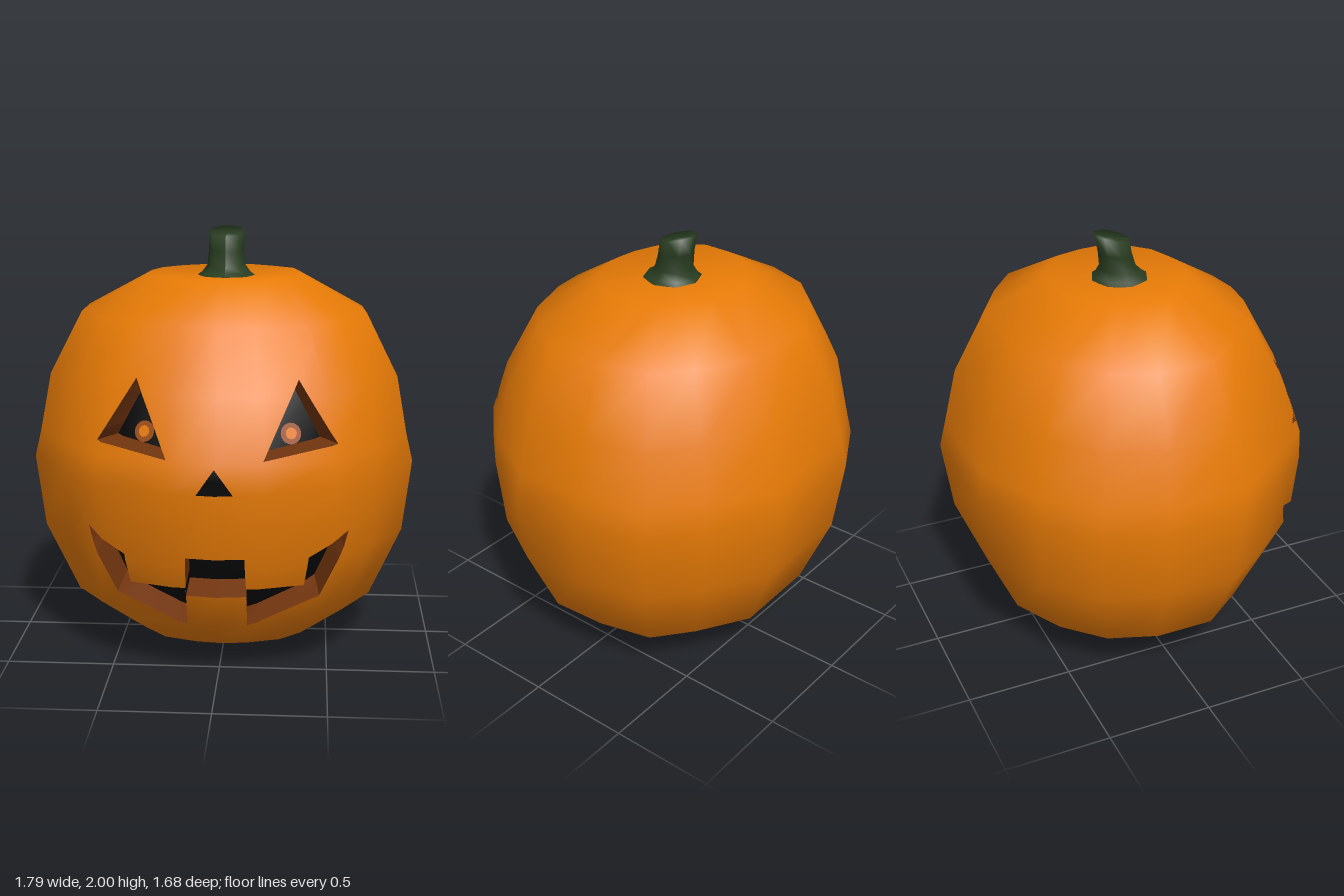
import * as THREE from 'three';
import { mergeVertices } from 'three/addons/utils/BufferGeometryUtils.js';

const mat = (name, color, side = THREE.FrontSide) => {
  const m = new THREE.MeshStandardMaterial({ color, side });
  m.name = name;
  return m;
};

// Plan outline [x, z] from the front round by the left
const OUTLINE = [[0, 0.85], [0.22, 0.82], [0.53, 0.7], [0.72, 0.49], [0.89, 0.18], [0.87, -0.16],
  [0.79, -0.48], [0.57, -0.66], [0.27, -0.84], [-0.28, -0.83], [-0.58, -0.67], [-0.8, -0.45],
  [-0.9, -0.16], [-0.9, 0.2], [-0.72, 0.46], [-0.53, 0.7], [-0.22, 0.82]];
// Levels [scale, y, depth factor of the front, depth factor of the back]
const LEVELS = [[0, 0.03, 1, 1], [0.22, 0, 0.75, 0.82], [0.52, 0.065, 0.84, 0.88],
  [0.79, 0.25, 0.95, 0.99], [0.955, 0.59, 1, 0.99], [1, 0.93, 0.985, 1], [0.965, 1.06, 1.03, 1],
  [0.91, 1.33, 0.95, 0.98], [0.745, 1.62, 0.91, 0.97], [0.4, 1.79, 0.88, 1], [0, 1.77, 1, 1]];

// Carved openings, anticlockwise in x and y
const mirror = (pts) => pts.map(([x, y]) => [-x, y]).reverse();
const EYE = [[0.355, 1.4], [0.21, 1.08], [0.53, 1.125]];
const NOSE = [[0, 1.05], [-0.08, 0.93], [0.08, 0.93]];
const MOUTH_HALF = [[0.135, 0.43], [0.135, 0.26], [0.46, 0.4], [0.565, 0.64], [0.585, 0.715],
  [0.41, 0.62], [0.39, 0.47], [0.135, 0.475], [0.13, 0.635]];
const MOUTH = [...MOUTH_HALF, ...mirror(MOUTH_HALF)];
// Convex pieces of the mouth for cutting
const CORNER = [[0.585, 0.715], [0.41, 0.62], [0.39, 0.47], [0.46, 0.4], [0.565, 0.64]];
const LOWER = [[0.39, 0.47], [0.135, 0.475], [0.135, 0.26], [0.46, 0.4]];
const MIDDLE = [[-0.13, 0.635], [-0.135, 0.43], [0.135, 0.43], [0.13, 0.635]];
const CUTS = [EYE, mirror(EYE), NOSE, CORNER, mirror(CORNER), LOWER, mirror(LOWER), MIDDLE];

function makeSkin() {
  const pos = [], index = [], n = OUTLINE.length;
  LEVELS.forEach(([s, y, front, back]) => OUTLINE.forEach(([x, z]) => {
    pos.push(x * s, y, z * s * (z > 0 ? front : back));
  }));
  for (let j = 0; j < LEVELS.length - 1; j++) {
    for (let i = 0; i < n; i++) {
      const a = j * n + i, b = j * n + (i + 1) % n;
      index.push(a, b, b + n, a, b + n, a + n);
    }
  }
  let g = new THREE.BufferGeometry();
  g.setAttribute('position', new THREE.Float32BufferAttribute(pos, 3));
  g.setIndex(index);
  g = mergeVertices(g);
  g.computeVertexNormals();
  return g;
}

// Splits a polygon along the line a-b into its left and right parts
function split(poly, a, b) {
  const side = (p) => (b[0] - a[0]) * (p[1] - a[1]) - (b[1] - a[1]) * (p[0] - a[0]);
  const left = [], right = [];
  poly.forEach((p, i) => {
    const q = poly[(i + 1) % poly.length], dp = side(p), dq = side(q);
    if (dp >= 0) left.push(p);
    if (dp <= 0) right.push(p);
    if (dp * dq < 0) {
      const m = p.map((v, k) => v + (q[k] - v) * dp / (dp - dq));
      left.push(m);
      right.push(m);
    }
  });
  return [left, right];
}

function subtract(poly, hole) {
  const out = [];
  let rest = poly;
  for (let i = 0; i < hole.length; i++) {
    const [l, r] = split(rest, hole[i], hole[(i + 1) % hole.length]);
    if (l.length < 3) return [poly];
    if (r.length > 2) out.push(r);
    rest = l;
  }
  return out;
}

// Skin with the openings cut through its front
function carve(skin) {
  const P = skin.attributes.position, N = skin.attributes.normal, pos = [], nor = [];
  const vert = (i) => [P.getX(i), P.getY(i), P.getZ(i), N.getX(i), N.getY(i), N.getZ(i)];
  for (let t = 0; t < skin.index.count; t += 3) {
    const tri = [0, 1, 2].map((k) => vert(skin.index.getX(t + k)));
    let polys = [tri];
    if (tri.every((v) => v[2] > 0.05)) {
      CUTS.forEach((hole) => { polys = polys.flatMap((p) => subtract(p, hole)); });
    }
    polys.forEach((p) => {
      for (let i = 1; i < p.length - 1; i++) {
        [p[0], p[i], p[i + 1]].forEach((v) => {
          pos.push(...v.slice(0, 3));
          nor.push(...v.slice(3));
        });
      }
    });
  }
  const g = new THREE.BufferGeometry();
  g.setAttribute('position', new THREE.Float32BufferAttribute(pos, 3));
  g.setAttribute('normal', new THREE.Float32BufferAttribute(nor, 3));
  return g;
}

function hitFront(mesh, x, y) {
  const ray = new THREE.Raycaster(new THREE.Vector3(x + 1e-4, y, 3), new THREE.Vector3(0, 0, -1));
  return ray.intersectObject(mesh)[0];
}

// Cut thickness around an opening, from the skin back to the hollow,
// narrowing towards the middle by shrink and rising by lift
function makeWall(skin, hollow, outline, shrink, lift) {
  const pos = [], steps = 20;
  const at = (mesh, x, y) => [x, y, hitFront(mesh, x, y).point.z];
  outline.forEach((a, i) => {
    const b = outline[(i + 1) % outline.length];
    const pair = (t) => {
      const x = a[0] + (b[0] - a[0]) * t, y = a[1] + (b[1] - a[1]) * t;
      return [at(skin, x, y), at(hollow, x * shrink, y + lift)];
    };
    for (let k = 0; k < steps; k++) {
      const [p, pi] = pair(k / steps), [q, qi] = pair((k + 1) / steps);
      pos.push(...p, ...q, ...qi, ...p, ...qi, ...pi);
    }
  });
  const g = new THREE.BufferGeometry();
  g.setAttribute('position', new THREE.Float32BufferAttribute(pos, 3));
  g.computeVertexNormals();
  return g;
}

export function createModel() {
  const orange = mat('pumpkin orange', 0xe67a06);
  const brown = mat('cut flesh brown', 0x70340e, THREE.DoubleSide);
  const ember = mat('pupil rim brown', 0x9c4a14);
  const black = mat('hollow black', 0x070707, THREE.DoubleSide);
  const green = mat('stem green', 0x283c20, THREE.DoubleSide);
  const model = new THREE.Group();
  model.name = 'carvedPumpkin';
  const add = (name, geo, material) => {
    const m = new THREE.Mesh(geo, material);
    m.name = name;
    model.add(m);
    return m;
  };

  const skin = makeSkin();
  const skinMesh = new THREE.Mesh(skin, orange);
  add('body', carve(skin), orange);

  // Dark hollow inside
  const inner = skin.clone().translate(0, -1.3, 0).scale(0.84, 0.93, 0.84).translate(0, 1.3, 0);
  const hollow = add('hollow', inner, black);

  add('leftEyeCut', makeWall(skinMesh, hollow, EYE, 0.85, 0.005), brown);
  add('rightEyeCut', makeWall(skinMesh, hollow, mirror(EYE), 0.85, 0.005), brown);
  add('noseCut', makeWall(skinMesh, hollow, NOSE, 1, 0), black);
  add('mouthCut', makeWall(skinMesh, hollow, MOUTH, 0.95, 0.042), brown);

  // Glowing pupils lying on the hollow
  for (const s of [1, -1]) {
    const hit = hitFront(hollow, 0.318 * s, 1.155);
    const pupil = new THREE.Group();
    pupil.name = s > 0 ? 'leftPupil' : 'rightPupil';
    const rim = new THREE.Mesh(new THREE.CircleGeometry(0.048, 20), ember);
    const glow = new THREE.Mesh(new THREE.CircleGeometry(0.026, 16), orange);
    rim.name = 'pupilRim';
    glow.name = 'pupilGlow';
    glow.position.z = 0.004;
    pupil.add(rim, glow);
    pupil.position.copy(hit.point).addScaledVector(hit.face.normal, 0.015);
    pupil.lookAt(pupil.position.clone().add(hit.face.normal));
    model.add(pupil);
  }

  // Stem with a flared foot, leaning back, its top cut at a slant
  const profile = [[0.155, 1.765], [0.115, 1.792], [0.09, 1.825], [0.083, 1.9], [0.086, 1.98],
    [0, 1.97]];
  const stem = new THREE.LatheGeometry(profile.map(([r, y]) => new THREE.Vector2(r, y)), 8);
  const sp = stem.attributes.position;
  for (let i = 0; i < sp.count; i++) {
    const y = sp.getY(i), z = sp.getZ(i), t = Math.max(0, (y - 1.8) / 0.18);
    sp.setY(i, y - z * 0.23 * t);
    sp.setZ(i, z - 0.01 - (y - 1.77) * 0.18);
  }
  stem.computeVertexNormals();
  add('stem', stem, green);

  // Small scar under the base
  const scar = add('baseScar', new THREE.ConeGeometry(0.05, 0.03, 6), green);
  scar.rotation.x = Math.PI;
  scar.position.y = 0.017;
  return model;
}
